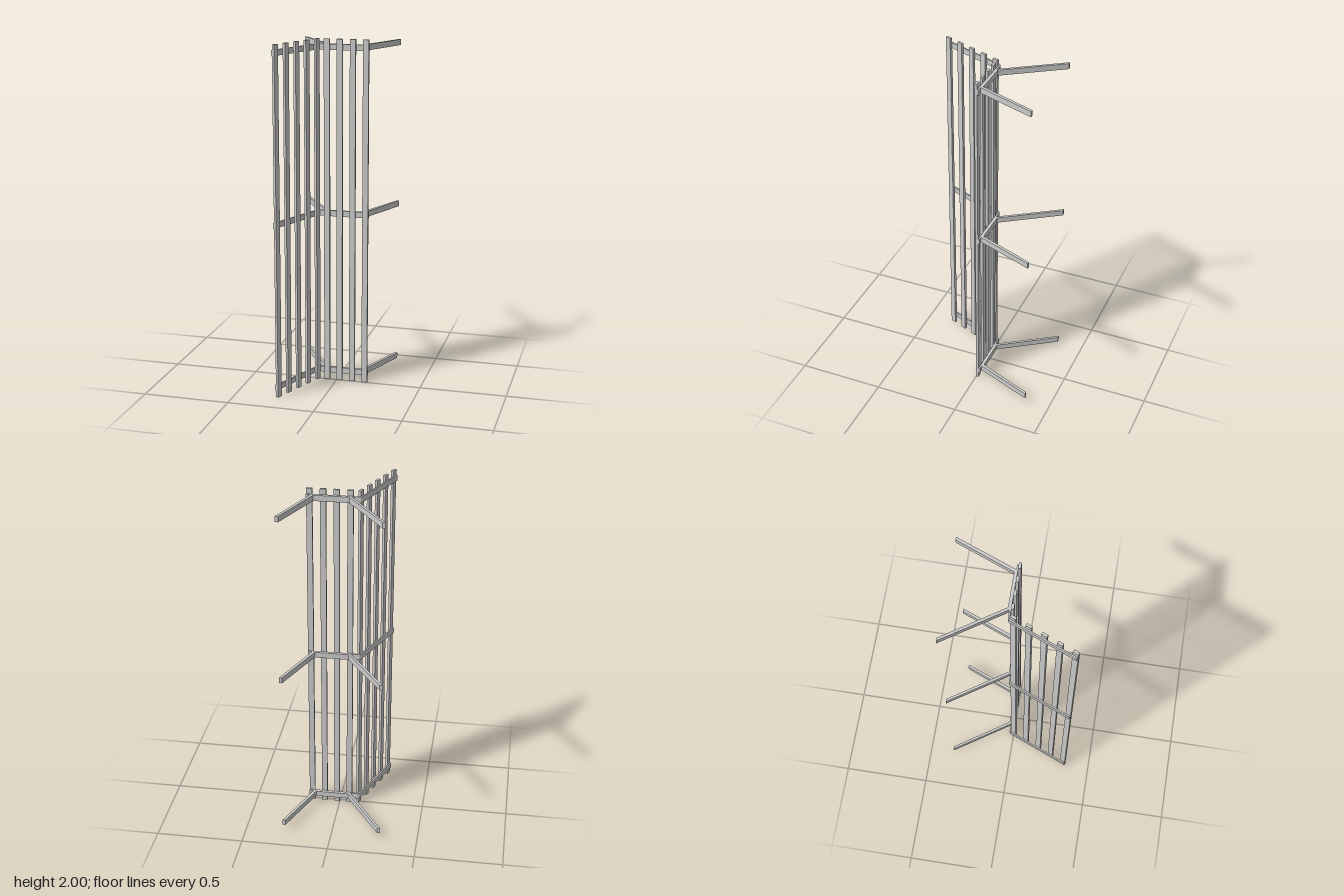
import * as THREE from 'three';

const material = new THREE.MeshStandardMaterial({ color: 0xcccccc, flatShading: true });
const RAIL_HEIGHT = 0.033;
const SLAT = { width: 0.033, height: 2, depth: 0.015 };

// Flat bar drawn in plan (x, -z) and extruded upward, centred on y = 0
function planBar(shape) {
  const geometry = new THREE.ExtrudeGeometry(shape, { depth: RAIL_HEIGHT, bevelEnabled: false, curveSegments: 5 });
  geometry.translate(0, 0, -RAIL_HEIGHT / 2);
  geometry.rotateX(-Math.PI / 2);
  return geometry;
}

// Bent strip carrying the slats: straight front run, rounded corner, angled wing
function railShape() {
  const s = new THREE.Shape();
  s.moveTo(0.183, 0.016);
  s.lineTo(0.183, 0.025);
  s.lineTo(-0.11, 0.025);
  s.quadraticCurveTo(-0.12, 0.025, -0.124, 0.015);
  s.lineTo(-0.27, -0.343);
  s.lineTo(-0.2617, -0.3464);
  s.lineTo(-0.1157, 0.011);
  s.quadraticCurveTo(-0.1135, 0.016, -0.108, 0.016);
  return s;
}

// Wall bracket: short bar behind the strip with two splayed arms
function bracketShape() {
  return new THREE.Shape([
    [-0.066, 0.025], [0.157, 0.025], [0.287, 0.356], [0.27, 0.356],
    [0.141, 0.034], [-0.054, 0.034], [-0.27, 0.356], [-0.287, 0.356],
  ].map(([x, y]) => new THREE.Vector2(x, y)));
}

export function createModel() {
  const model = new THREE.Group();
  model.name = 'slattedScreen';

  const add = (geometry, name, x, y, z, turn = 0) => {
    const mesh = new THREE.Mesh(geometry, material);
    mesh.name = name;
    mesh.position.set(x, y, z);
    mesh.rotation.y = turn;
    model.add(mesh);
  };

  // Three levels of rails and brackets
  const rail = planBar(railShape());
  const bracket = planBar(bracketShape());
  for (const y of [0.053, 1.003, 1.953]) {
    add(rail, 'rail', 0, y, 0);
    add(bracket, 'bracket', 0, y, 0);
  }

  // Upright slats on the front run
  const slat = new THREE.BoxGeometry(SLAT.width, SLAT.height, SLAT.depth);
  for (let i = 0; i < 4; i++) add(slat, 'frontSlat', -0.058 + i * 0.0748, 1, -0.0082);

  // Upright slats on the angled wing
  const turn = Math.atan2(0.358, 0.146);
  for (let i = 0; i < 5; i++) {
    const t = i / 4;
    add(slat, 'wingSlat', -0.1133 - 0.1362 * t, 1, 0.003 + 0.334 * t, turn);
  }
  return model;
}
